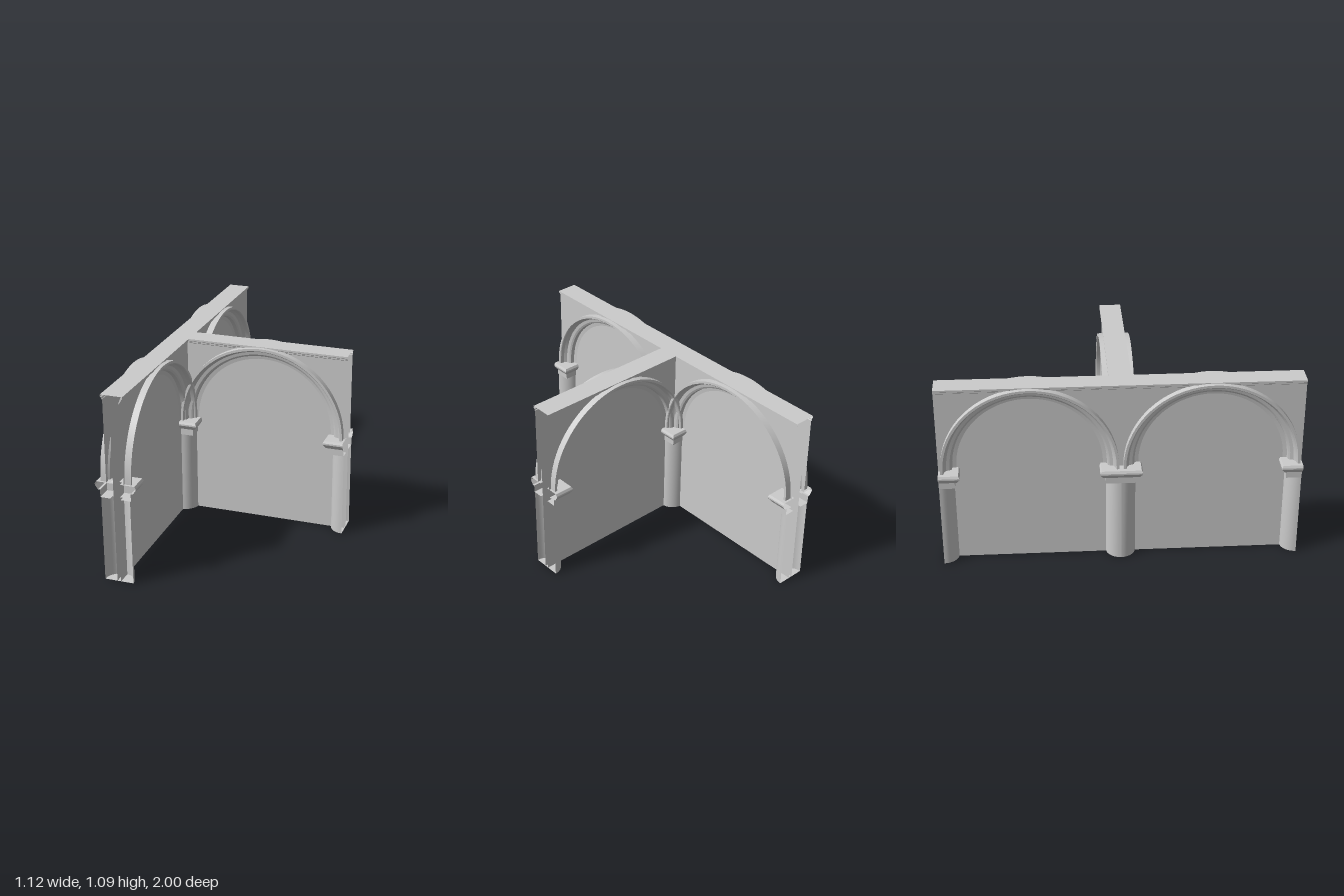
import * as THREE from 'three';

const AXIS_X = -0.443;   // centre line of the long wall
const SPRING = 0.585;    // top of the capitals
const ARCH_Y = 0.594;    // centre of the arch curves
const TOP = 1.085;
const PANEL = 0.011;     // half thickness of the infill panels
const SPANDREL = 0.05;   // half thickness of the wall above the arches

const material = new THREE.MeshStandardMaterial({ color: 0xcccccc, side: THREE.DoubleSide });

// Skin over rows of points: hard edges between rows, smooth (or flat) along them
function loft(name, rows, flat = false) {
  const pos = [], index = [];
  for (let r = 0; r < rows.length - 1; r++) {
    const base = pos.length / 3, n = rows[r].length;
    for (const p of [...rows[r], ...rows[r + 1]]) pos.push(...p);
    for (let i = 0; i < n - 1; i++) {
      const a = base + i, b = a + 1, c = a + n, d = c + 1;
      index.push(a, b, d, a, d, c);
    }
  }
  let geo = new THREE.BufferGeometry();
  geo.setAttribute('position', new THREE.Float32BufferAttribute(pos, 3));
  geo.setIndex(index);
  if (flat) geo = geo.toNonIndexed();
  geo.computeVertexNormals();
  const mesh = new THREE.Mesh(geo, material);
  mesh.name = name;
  return mesh;
}

// Straight moulding along the bay from [depth, height] points, mitred at the inner corner
function moulding(name, profile, inner) {
  return loft(name, profile.map(([u, y]) => [
    [-0.5 + (inner < 0 ? u : 0), y, u],
    [0.5 - (inner > 0 ? u : 0), y, u],
  ]), true);
}

// Stepped arch ring from [radius, depth] points
function arch() {
  const profile = [[0.402, 0.011], [0.424, 0.015], [0.428, 0.037], [0.438, 0.043],
    [0.456, 0.047], [0.467, 0.063], [0.47, 0.084], [0.474, 0.088], [0.488, 0.088], [0.488, SPANDREL]];
  const segments = 36;
  return loft('archMoulding', profile.map(([r, u]) => {
    const row = [[-r, SPRING, u]];
    for (let i = 0; i <= segments; i++) {
      const t = Math.PI * (1 - i / segments);
      row.push([r * Math.cos(t), ARCH_Y + r * Math.sin(t), u]);
    }
    row.push([r, SPRING, u]);
    return row;
  }));
}

// Wall face above the arch
function spandrel(inner) {
  const left = -0.5 + (inner < 0 ? PANEL : 0), right = 0.5 - (inner > 0 ? PANEL : 0);
  const r = 0.478;
  const shape = new THREE.Shape();
  shape.moveTo(left, SPRING);
  shape.lineTo(-r, SPRING);
  shape.absarc(0, ARCH_Y, r, Math.PI, 0, true);
  shape.lineTo(r, SPRING);
  shape.lineTo(right, SPRING);
  shape.lineTo(right, 1.06);
  shape.lineTo(left, 1.06);
  const mesh = new THREE.Mesh(new THREE.ShapeGeometry(shape, 36), material);
  mesh.position.z = SPANDREL;
  mesh.name = 'spandrel';
  return mesh;
}

// Quarter column with a quarter of a square capital, at either end of the bay
function quarterColumn(side) {
  const group = new THREE.Group();
  group.name = 'column';
  const place = (row) => {
    const placed = row.map(([s, y, u]) => [side * (0.5 - s), y, u]);
    return side > 0 ? placed.reverse() : placed;
  };
  const shaft = [[0.012, 0], [0.083, 0], [0.083, 0.495]].map(([r, y]) => {
    const row = [], start = Math.asin(PANEL / 0.083);
    for (let i = 0; i <= 8; i++) {
      const a = Math.PI / 2 + (start - Math.PI / 2) * i / 8;
      row.push([r * Math.cos(a), y, Math.max(PANEL, r * Math.sin(a))]);
    }
    return place(row);
  });
  const capital = [[0.03, 0.495], [0.088, 0.495], [0.088, 0.538], [0.1, 0.538],
    [0.117, 0.563], [0.117, 0.572], [0.11, SPRING], [0.03, SPRING]]
    .map(([a, y]) => place([[0, y, a], [a, y, a], [a, y, PANEL]]));
  group.add(loft('shaft', shaft), loft('capital', capital, true));
  return group;
}

// One face of a wall bay; inner = which end (-1, 0, 1) meets the other wall
function bay(name, x, z, turn, inner, columnSides) {
  const group = new THREE.Group();
  group.name = name;
  group.add(
    moulding('infillPanel', [[0, 0], [PANEL, 0], [PANEL, 0.995]], inner),
    spandrel(inner),
    arch(),
    moulding('cornice', [[SPANDREL, 1.058], [0.055, 1.062], [0.055, 1.069],
      [0.0625, 1.074], [0.0625, TOP], [0, TOP]], inner),
    ...columnSides.map(quarterColumn),
  );
  group.position.set(x, 0, z);
  group.rotation.y = turn;
  return group;
}

export function createModel() {
  const model = new THREE.Group();
  model.name = 'arcadeWallJunction';
  const branchX = AXIS_X + 0.5, q = Math.PI / 2;
  // Long wall, both faces
  for (const dir of [-1, 1]) {
    model.add(bay('longWallOuterBay', AXIS_X, dir * 0.5, -q, 0, [-1, 1]));
    model.add(bay('longWallInnerBay', AXIS_X, dir * 0.5, q, dir, [-1, 1]));
  }
  // Branch wall; its inner columns are shared with the long wall
  model.add(bay('branchFrontBay', branchX, 0, 0, -1, [1]));
  model.add(bay('branchBackBay', branchX, 0, Math.PI, 1, [-1]));
  return model;
}
